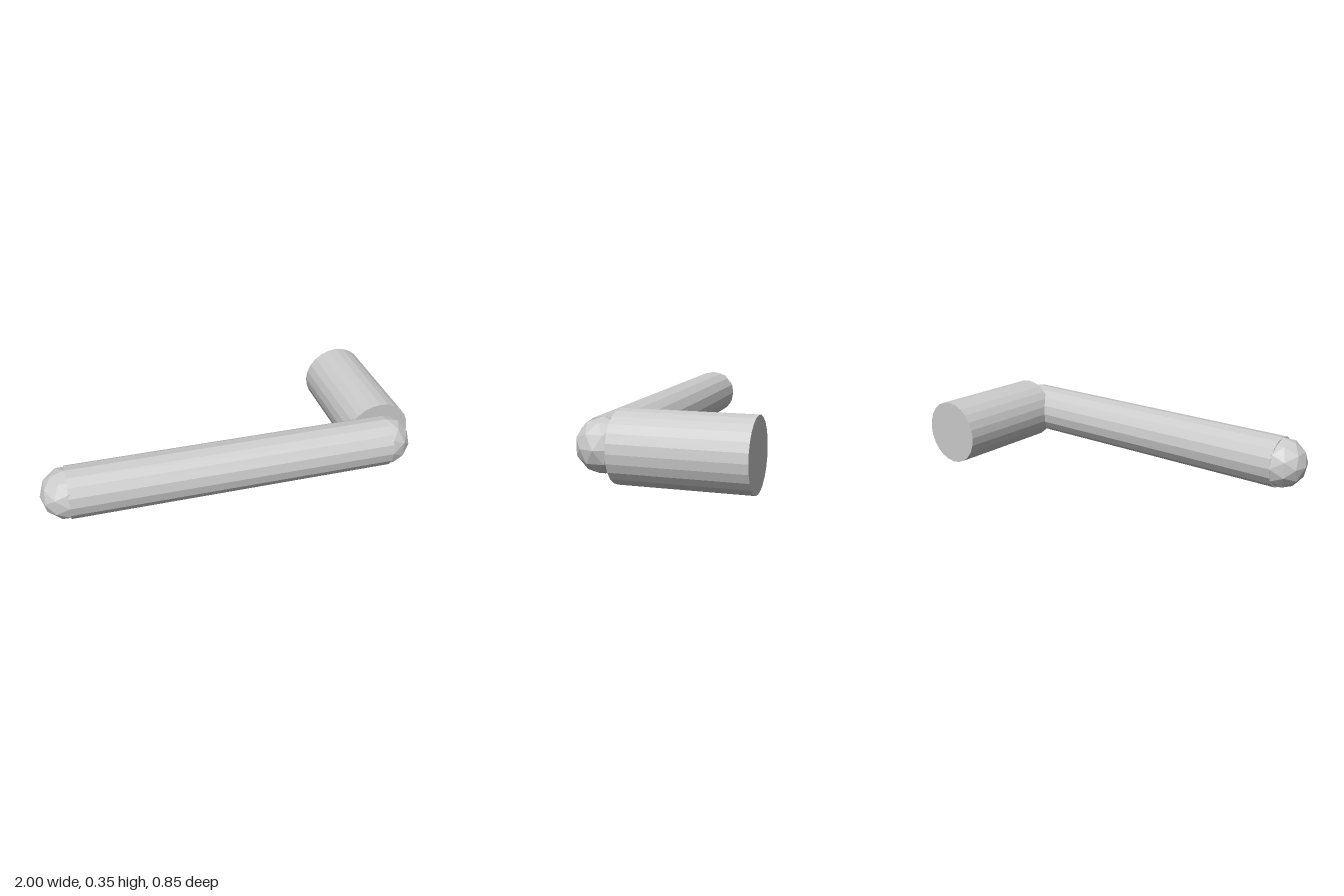
import * as THREE from 'three';

export function createModel() {
  const model = new THREE.Group();
  model.name = 'leverHandle';
  const material = new THREE.MeshStandardMaterial({ color: 0xcccccc, flatShading: true });

  const centreY = 0.175;
  const barZ = 0.293;
  const barRadius = 0.134;
  const barStart = -0.866;
  const barEnd = 0.825;

  function add(name, geometry, x, z) {
    const mesh = new THREE.Mesh(geometry, material);
    mesh.name = name;
    mesh.position.set(x, centreY, z);
    model.add(mesh);
    return mesh;
  }

  // Spindle: thick round stub running front to back
  const spindle = new THREE.CylinderGeometry(0.175, 0.175, 0.64, 24);
  spindle.rotateX(Math.PI / 2);
  add('spindle', spindle, barEnd, -0.106);

  // Grip: long bar across the front
  const grip = new THREE.CylinderGeometry(barRadius, barRadius, barEnd - barStart, 16);
  grip.rotateZ(Math.PI / 2);
  add('gripBar', grip, (barStart + barEnd) / 2, barZ);

  // Faceted rounded ends of the grip
  for (const [name, x] of [['rightEndCap', barStart], ['leftEndCap', barEnd]]) {
    add(name, new THREE.IcosahedronGeometry(barRadius, 1), x, barZ);
  }

  return model;
}
